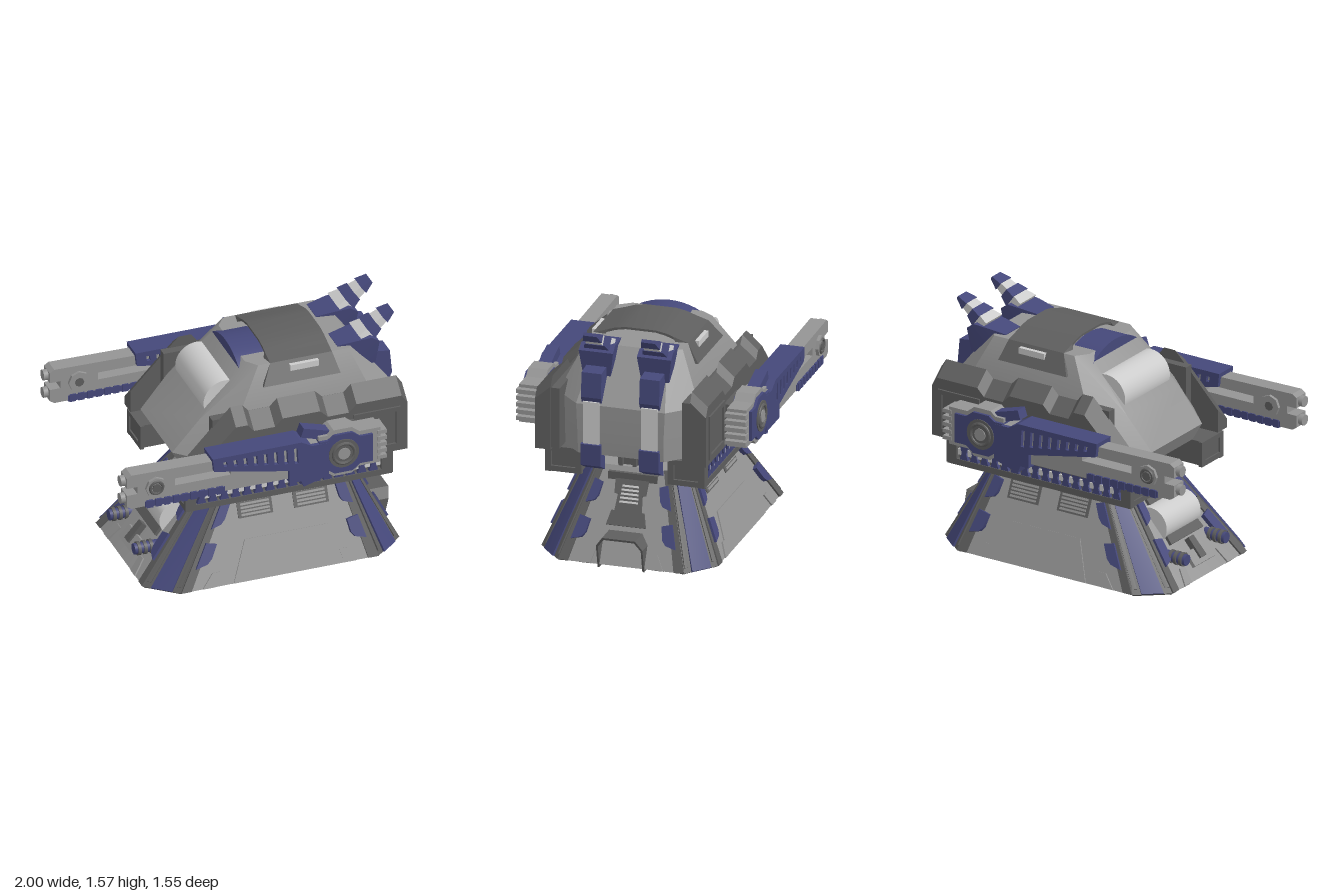
import * as THREE from 'three';
import { toCreasedNormals } from 'three/addons/utils/BufferGeometryUtils.js';
import { ConvexGeometry } from 'three/addons/geometries/ConvexGeometry.js';

const mat = (color) => new THREE.MeshStandardMaterial({ color });
const V = (x, y, z) => new THREE.Vector3(x, y, z);

export function createModel() {
  const root = new THREE.Group();
  const light = mat(0xcccccc), mid = mat(0x949494), dark = mat(0x5e5e5e), blue = mat(0x45487a);

  // ---- helpers ----
  const add = (name, geo, m) => {
    const mesh = new THREE.Mesh(toCreasedNormals(geo, 0.5), m);
    mesh.name = name;
    root.add(mesh);
  };
  // the same part on the +z and -z sides, with the winding turned round for the copy
  const pair = (name, geo, m) => {
    add(name + 'Left', geo.clone(), m);
    const g = geo.index ? geo.toNonIndexed() : geo.clone();
    const p = g.attributes.position;
    for (let i = 0; i < p.count; i += 3) {
      const a = V().fromBufferAttribute(p, i), b = V().fromBufferAttribute(p, i + 1), c = V().fromBufferAttribute(p, i + 2);
      [a, c, b].forEach((q, k) => p.setXYZ(i + k, q.x, q.y, -q.z));
    }
    add(name + 'Right', g, m);
  };
  const box = (x0, x1, y0, y1, z0, z1) =>
    new THREE.BoxGeometry(x1 - x0, y1 - y0, z1 - z0).translate((x0 + x1) / 2, (y0 + y1) / 2, (z0 + z1) / 2);
  const hull = (pts) => new ConvexGeometry(pts);
  // outline in x, y pushed from z0 to z1
  const ext = (pts, z0, z1, holes = []) => {
    const toV2 = (a) => a.map(([x, y]) => new THREE.Vector2(x, y));
    const s = new THREE.Shape(toV2(pts));
    holes.forEach((h) => s.holes.push(new THREE.Path(toV2(h))));
    return new THREE.ExtrudeGeometry(s, { depth: z1 - z0, bevelEnabled: false }).translate(0, 0, z0);
  };
  const rect = (x0, x1, y0, y1) => [[x0, y0], [x1, y0], [x1, y1], [x0, y1]];
  const cylZ = (x, y, z0, z1, r, n = 24) =>
    new THREE.CylinderGeometry(r, r, z1 - z0, n).rotateX(Math.PI / 2).translate(x, y, (z0 + z1) / 2);
  const cylX = (x0, x1, y, z, r, n = 16) =>
    new THREE.CylinderGeometry(r, r, x1 - x0, n).rotateZ(Math.PI / 2).translate((x0 + x1) / 2, y, z);
  // chamfered rectangle at height y
  const oct = (y, x0, x1, z, cx, cz) => [
    [x0 + cx, z], [x1 - cx, z], [x1, z - cz], [x1, cz - z],
    [x1 - cx, -z], [x0 + cx, -z], [x0, cz - z], [x0, z - cz]].map(([a, b]) => V(a, y, b));
  // raised plate on a sloping face, outlined in face coordinates u, v
  const plate = (f, uv, t, depth = 0.02) => {
    const n = f[1].clone().sub(f[0]).cross(f[3].clone().sub(f[0])).normalize();
    const pts = [];
    uv.forEach(([u, v]) => {
      const p = f[0].clone().lerp(f[1], u).lerp(f[3].clone().lerp(f[2], u), v);
      pts.push(p.clone().addScaledVector(n, t), p.clone().addScaledVector(n, -depth));
    });
    return hull(pts);
  };

  // ---- sloping base ----
  const lo = oct(0.02, -0.74, 0.95, 0.57, 0.19, 0.16), hi = oct(0.58, -0.25, 0.67, 0.33, 0.07, 0.1);
  const face = (i) => [lo[i], lo[(i + 1) % 8], hi[(i + 1) % 8], hi[i]];
  add('base', hull([...lo, ...hi]), mid);
  for (let i = 1; i < 8; i += 2) {
    add('cornerPillar', plate(face(i), rect(0, 1, 0, 1), 0.004), dark);
    add('pillarStripe', plate(face(i), rect(0.22, 0.78, 0, 0.93), 0.018), blue);
    for (const u of [0.02, 0.86]) add('pillarEdge', plate(face(i), rect(u, u + 0.12, 0.05, 1), 0.014), dark);
  }
  for (let i = 0; i < 8; i += 2) {
    const f = face(i), w = i % 4 ? 0.078 : 0.052;
    for (const s of [0, 1]) {
      const side = (pts) => pts.map(([u, v]) => [s ? 1 - u * w : u * w, v]);
      add('pillarFlange', plate(f, side(rect(0, 1, 0, 1)), 0.012), dark);
      for (const v of [0.22, 0.6])
        add('pillarClip', plate(f, side([[0.5, v], [1.6, v + 0.03], [1.9, v + 0.08], [1.9, v + 0.22], [0.5, v + 0.25]]), 0.028), blue);
      add('footBlock', plate(f, side([[2.1, 0], [3.3, 0], [3.5, 0.15], [2.6, 0.15]]), 0.01), mid);
    }
  }
  // side walls: lower panel and upright louvred vents, set out by x and v
  const wall = (xv) => xv.map(([x, v]) => {
    const a = -0.55 + 0.37 * v, b = 0.76 - 0.16 * v;
    return [(x - a) / (b - a), v];
  });
  pair('sideLowerPanel', plate(face(0), wall([[-0.2, 0], [0.57, 0], [0.46, 0.43], [-0.09, 0.43]]), 0.008), mid);
  for (const x of [-0.11, 0.26]) {
    pair('ventFrame', plate(face(0), wall(rect(x, x + 0.23, 0.65, 0.9)), 0.006), dark);
    for (let k = 0; k < 6; k++)
      pair('ventSlat', plate(face(0), wall(rect(x + 0.02, x + 0.21, 0.67 + k * 0.037, 0.692 + k * 0.037)), 0.014), mid);
  }
  // rear wall: service panel, slats and gate hood
  const rear = face(2);
  add('servicePanelFoot', plate(rear, [[0.31, 0.4], [0.69, 0.4], [0.67, 0.55], [0.33, 0.55]], 0.022), dark);
  add('servicePanel', plate(rear, rect(0.36, 0.64, 0.5, 0.87), 0.018), dark);
  add('servicePanelHead', plate(rear, [[0.32, 0.72], [0.68, 0.72], [0.71, 0.87], [0.29, 0.87]], 0.022), dark);
  for (let k = 0; k < 5; k++) add('serviceSlat', plate(rear, rect(0.4, 0.6, 0.63 + k * 0.04, 0.65 + k * 0.04), 0.032), light);
  add('rearCollar', box(0.5, 0.71, 0.5, 0.55, -0.16, 0.16), dark);
  const gate = ext([[-0.152, 0], [-0.14, 0], [-0.14, 0.15], [-0.1, 0.203], [0.1, 0.203], [0.14, 0.15], [0.14, 0], [0.152, 0],
    [0.152, 0.155], [0.108, 0.217], [-0.108, 0.217], [-0.152, 0.155]], 0.8, 1.0).rotateY(Math.PI / 2);
  const gp = gate.attributes.position;
  for (let i = 0; i < gp.count; i++) gp.setX(i, gp.getX(i) - 0.05 * (1 - gp.getY(i) / 0.217));
  add('gateHood', gate, dark);

  // nose wall: rounded window, bolts and latch
  add('baseWindowFrame', plate(face(6), rect(0.24, 0.76, 0.36, 0.86), 0.02), dark);
  add('baseWindow', cylZ(-0.43, 0.33, -0.19, 0.19, 0.12, 32), light);
  for (const z of [-0.23, 0.21]) {
    add('baseBolt', cylX(-0.73, -0.55, 0.18, z, 0.036), blue);
    for (const x of [-0.71, -0.67, -0.63]) add('baseBoltRing', cylX(x, x + 0.02, 0.18, z, 0.045), dark);
  }
  add('baseLatch', plate(face(6), rect(0.36, 0.64, 0.1, 0.24), 0.025), mid);
  add('baseLatchBar', plate(face(6), rect(0.46, 0.54, 0.14, 0.34), 0.04), dark);

  // ---- neck and side rails ----
  add('neck', box(-0.1, 0.5, 0.54, 0.78, -0.18, 0.18), dark);
  add('neckYoke', box(-0.15, 0.55, 0.63, 0.76, -0.3, 0.3), dark);
  add('neckSpine', box(0.4, 0.64, 0.5, 0.78, -0.12, 0.12), dark);
  for (const z of [-0.1, -0.01, 0.08]) add('neckRib', box(0.6, 0.67, 0.55, 0.76, z, z + 0.025), dark);
  pair('rail', box(-0.49, 0.86, 0.58, 0.74, 0.29, 0.49), dark);
  pair('railFrame', ext([[-0.5, 0.57], [0.87, 0.57], [0.87, 0.73], [0.8, 0.74], [-0.45, 0.74], [-0.5, 0.72]], 0.48, 0.52, [rect(-0.43, 0.8, 0.61, 0.7)]), dark);
  for (const x of [-0.5, 0.85])
    pair('railEnd', ext(rect(-0.52, -0.28, 0.575, 0.74), x, x + 0.025, [rect(-0.48, -0.32, 0.61, 0.71)]).rotateY(Math.PI / 2), dark);
  for (let i = 0; i < 16; i++) {
    const x = -0.42 + i * 0.076;
    pair('railLink', ext([[x, 0.61], [x + 0.06, 0.61], [x + 0.045, 0.655], [x + 0.06, 0.7], [x, 0.7], [x + 0.015, 0.655]], 0.48, 0.515), blue);
    pair('railPin', box(x + 0.05, x + 0.085, 0.635, 0.675, 0.48, 0.505), light);
  }

  // ---- upper hull ----
  add('hull', hull([...oct(0.75, -0.43, 0.95, 0.46, 0.18, 0.18), ...oct(0.87, -0.5, 0.96, 0.46, 0.18, 0.18),
    ...oct(1.08, -0.32, 0.96, 0.46, 0.17, 0.17), ...oct(1.4, 0, 0.72, 0.31, 0.06, 0.08)]), mid);
  add('noseWindow', cylZ(-0.14, 1.16, -0.25, 0.25, 0.14, 32), light);
  // armour skirts with a stepped, bevelled upper edge
  const edge = [[-0.5, 0.75], [0.96, 0.75], [0.96, 1.17], [0.92, 1.23], [0.62, 1.23], [0.57, 1.18], [0.43, 1.18], [0.38, 1.23],
    [0.13, 1.23], [0.08, 1.18], [-0.06, 1.18], [-0.1, 1.23], [-0.18, 1.23], [-0.3, 1.11], [-0.5, 0.9]];
  const skirt = ext(edge, 0.455, 0.558), sp = skirt.attributes.position;
  for (let i = 0; i < sp.count; i++) if (sp.getZ(i) > 0.5 && sp.getY(i) > 0.85) sp.setY(i, sp.getY(i) - 0.09);
  pair('armourSkirt', skirt, dark);
  pair('skirtBacking', box(-0.3, 0.95, 0.76, 1.16, 0.4, 0.46), dark);
  pair('skirtPanelFrame', ext(rect(0.6, 0.91, 0.78, 1.07), 0.55, 0.57, [rect(0.63, 0.88, 0.81, 1.04)]), dark);
  // thin arched roof saddle, side hatches and domed cover
  const arch = [[0.3, 1.4], [0.17, 1.445], [0.1, 1.458], [-0.1, 1.458], [-0.17, 1.445], [-0.3, 1.4]];
  add('roofSaddle', ext([...arch, ...arch.map(([z, y]) => [z * 0.96, y - 0.014]).reverse()], 0.14, 0.55).rotateY(Math.PI / 2), dark);
  pair('roofFlap', hull([V(0.07, 1.28, 0.385), V(0.58, 1.28, 0.385), V(0.14, 1.4, 0.31), V(0.55, 1.4, 0.31),
    V(0.07, 1.28, 0.3), V(0.58, 1.28, 0.3), V(0.14, 1.43, 0.21), V(0.55, 1.43, 0.21)]), dark);
  pair('roofHandle', box(0.26, 0.45, 1.34, 1.38, 0.28, 0.35), light);
  add('roofDome', cylX(-0.04, 0.16, 1.0, 0, 0.432, 64), blue);

  // ---- rear straps and horns ----
  const fin = (pts, w) => ext(pts, 0.19 - w, 0.19 + w);
  pair('strapFoot', fin([[0.88, 0.63], [0.975, 0.68], [0.98, 0.82], [0.9, 0.83]], 0.065), blue);
  pair('strap', fin(rect(0.88, 0.968, 0.8, 1.1), 0.052), light);
  pair('strapTop', fin([[0.8, 1.1], [0.95, 1.09], [0.97, 1.13], [0.955, 1.29], [0.8, 1.31]], 0.065), blue);
  pair('hornBase', hull([[0.6, 1.405, 0.08], [0.72, 1.425, 0.1], [0.82, 1.435, 0.11], [0.87, 1.4, 0.112], [0.85, 1.24, 0.09], [0.65, 1.24, 0.08]]
    .flatMap(([x, y, w]) => [V(x, y, 0.19 - w), V(x, y, 0.19 + w)])), blue);
  // each band: start and end as x, y, half thickness, half width
  const bands = [
    [[0.77, 1.41, 0.05, 0.09], [0.83, 1.45, 0.04, 0.065]], [[0.825, 1.447, 0.045, 0.082], [0.88, 1.485, 0.034, 0.065]],
    [[0.88, 1.485, 0.03, 0.055], [0.93, 1.518, 0.024, 0.048]], [[0.925, 1.515, 0.028, 0.062], [0.985, 1.557, 0.01, 0.045]]];
  bands.forEach((ends, i) => pair('hornBand', hull(ends.flatMap(([x, y, t, w]) =>
    [-1, 1].flatMap((a) => [-1, 1].map((b) => V(x + a * t * 0.58, y - a * t * 0.81, 0.19 + b * w))))), i % 2 ? blue : light));

  // ---- side guns ----
  pair('gunArm', box(0.34, 0.6, 0.85, 1.04, 0.5, 0.64), dark);
  pair('barrel', ext([[-0.97, 0.83], [-0.94, 0.81], [0.3, 0.81], [0.3, 1.03], [-0.94, 1.05], [-0.97, 1.03], [-0.97, 0.96], [-0.9, 0.96], [-0.9, 0.91], [-0.97, 0.91]],
    0.63, 0.735, [rect(-0.65, -0.28, 0.92, 0.97)]), mid);
  for (const y of [0.87, 0.995]) pair('muzzle', cylX(-1, -0.95, y, 0.683, 0.035), mid);
  pair('barrelBolt', cylZ(-0.78, 0.94, 0.61, 0.755, 0.07, 8), mid);
  pair('barrelBoltRing', new THREE.TorusGeometry(0.042, 0.01, 6, 16).translate(-0.78, 0.94, 0.755), dark);
  pair('barrelBoltCap', cylZ(-0.78, 0.94, 0.605, 0.765, 0.03, 8), dark);
  pair('barrelUnderRail', box(-0.85, -0.32, 0.805, 0.845, 0.625, 0.742), blue);
  for (let i = 0; i < 9; i++) pair('underRailRib', box(-0.84 + i * 0.058, -0.80 + i * 0.058, 0.8, 0.852, 0.622, 0.748), blue);
  const slots = Array.from({ length: 9 }, (_, i) => {
    const x = -0.34 + i * 0.067, y = 1.0 - i * 0.011;
    return [[x + 0.006, y], [x + 0.03, y], [x + 0.024, 1.035], [x, 1.035]];
  });
  pair('gunJacket', ext([[-0.41, 1.07], [-0.4, 0.98], [0.1, 0.88], [0.1, 0.79], [0.36, 0.79], [0.36, 1.03], [0.25, 1.03], [0.18, 1.07]], 0.605, 0.762, slots.slice(0, 8)), blue);
  const body = (g) => [[0.3, 0.82 - g], [0.36, 0.82 - g], [0.4, 0.79 - g], [0.52, 0.79 - g], [0.57, 0.83 - g], [0.67 + 2 * g, 0.83 - g],
    [0.67 + 2 * g, 1.04 + g], [0.57, 1.04 + g], [0.52, 1.08 + g], [0.4, 1.08 + g], [0.36, 1.05 + g], [0.3, 1.05 + g]];
  pair('gunReceiver', ext(body(0.02), 0.615, 0.742), mid);
  pair('receiverPlate', ext(body(-0.008), 0.605, 0.76), blue);
  for (let i = 0; i < 5; i++) pair('receiverTooth', box(0.69, 0.75, 0.835 + i * 0.045, 0.86 + i * 0.045, 0.612, 0.75), mid);
  pair('upperTab', ext([[0.19, 1.08], [0.35, 1.03], [0.38, 1.09], [0.21, 1.14]], 0.64, 0.72), blue);
  pair('lowerTab', ext([[0.19, 0.77], [0.21, 0.72], [0.38, 0.77], [0.35, 0.82]], 0.64, 0.72), blue);
  pair('pivotDisc', cylZ(0.46, 0.935, 0.6, 0.766, 0.1), dark);
  pair('pivotRing', new THREE.TorusGeometry(0.07, 0.012, 8, 24).translate(0.46, 0.935, 0.764), dark);
  pair('pivotCap', cylZ(0.46, 0.935, 0.74, 0.772, 0.04), mid);

  return root;
}
